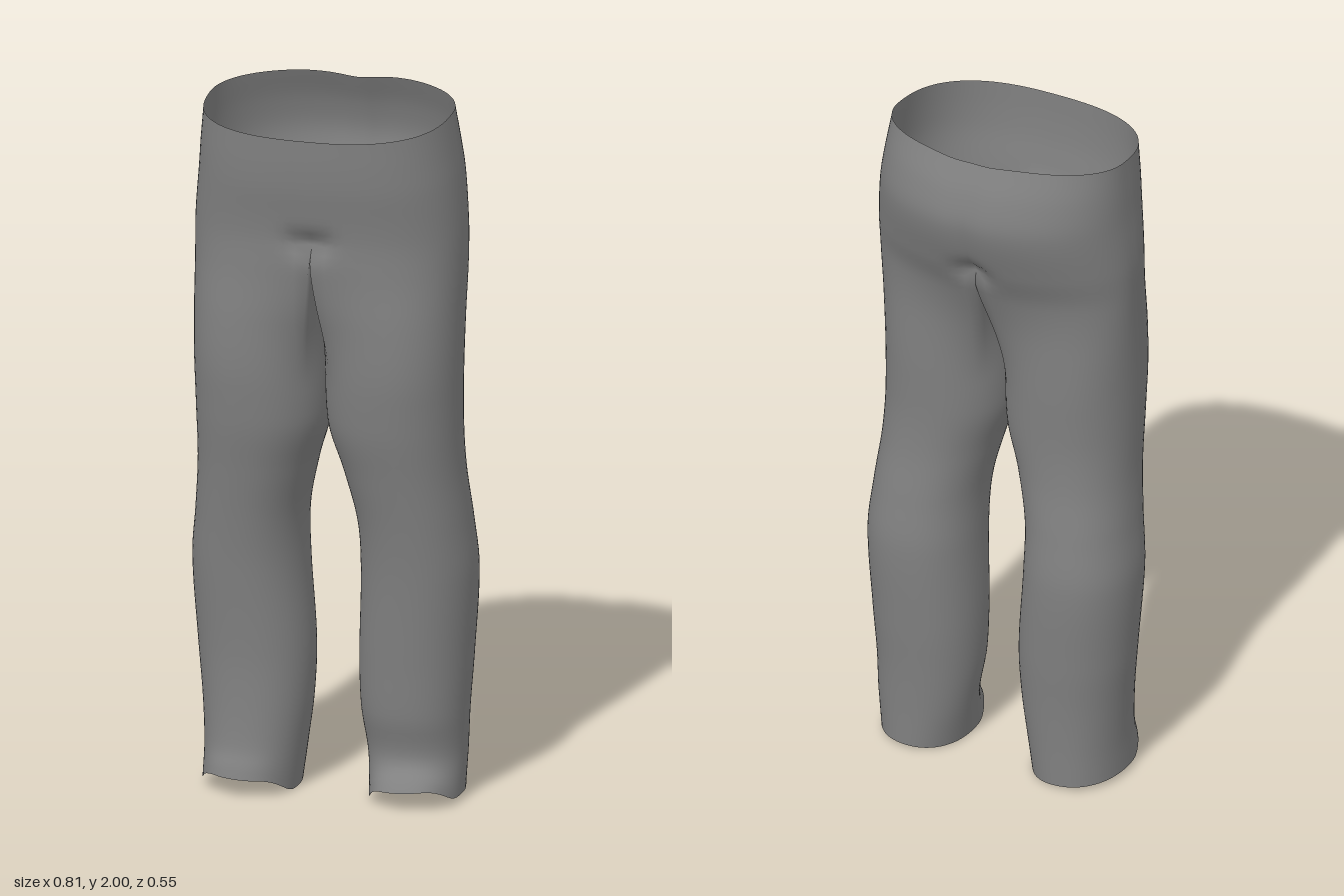
import * as THREE from 'three';
import { mergeVertices } from 'three/addons/utils/BufferGeometryUtils.js';

// Columns: height, then for right / left leg: outer x, inner x, front z; last is back z
const PROFILE = [
  [2.0, 0.362, 0.338, 0, 0, 0.28, 0.28, -0.222],
  [1.9, 0.37, 0.352, 0, 0, 0.278, 0.278, -0.262],
  [1.8, 0.376, 0.365, 0, 0, 0.272, 0.272, -0.276],
  [1.65, 0.388, 0.378, 0.002, 0.002, 0.254, 0.254, -0.232],
  [1.55, 0.388, 0.38, 0.002, 0.002, 0.256, 0.256, -0.19],
  [1.4, 0.385, 0.377, 0.002, 0.002, 0.26, 0.26, -0.162],
  [1.1, 0.377, 0.374, 0.003, 0.003, 0.235, 0.235, -0.145],
  [0.95, 0.377, 0.378, 0.045, 0.045, 0.208, 0.208, -0.148],
  [0.8, 0.39, 0.392, 0.079, 0.078, 0.183, 0.183, -0.168],
  [0.65, 0.405, 0.403, 0.083, 0.082, 0.165, 0.165, -0.185],
  [0.4, 0.39, 0.389, 0.066, 0.075, 0.148, 0.146, -0.174],
  [0.25, 0.375, 0.378, 0.07, 0.08, 0.152, 0.136, -0.163],
  [0.12, 0.366, 0.371, 0.085, 0.098, 0.166, 0.118, -0.157],
  [0.0, 0.365, 0.37, 0.1, 0.115, 0.192, 0.188, -0.155],
];
const CROTCH = 1.63, OUTER = 48, INNER = 16;
const smooth = THREE.MathUtils.smoothstep, lerp = THREE.MathUtils.lerp;
const power = (v, n) => Math.sign(v) * Math.abs(v) ** (2 / n);

// Smooth cubic interpolation of one profile column
function sample(y, col) {
  let i = 0;
  while (i < PROFILE.length - 2 && y < PROFILE[i + 1][0]) i++;
  const at = k => PROFILE[Math.min(Math.max(k, 0), PROFILE.length - 1)];
  const slope = k => (at(k + 1)[col] - at(k - 1)[col]) / (at(k + 1)[0] - at(k - 1)[0]);
  const a = at(i), b = at(i + 1), d = b[0] - a[0], t = (y - a[0]) / d;
  return a[col] * (1 + 2 * t) * (1 - t) ** 2 + b[col] * t * t * (3 - 2 * t)
    + d * (slope(i) * t * (1 - t) ** 2 + slope(i + 1) * t * t * (t - 1));
}

// Cross-section of one side: outer arc (front to back), then inner arc (back to front)
function section(y, left) {
  const out = sample(y, 1 + left), inn = sample(y, 3 + left);
  const front = sample(y, 5 + left), back = sample(y, 7);
  const blend = 1 - smooth(y, 1.2, CROTCH);
  const leg = phi => [
    (out + inn) / 2 + (out - inn) / 2 * power(Math.sin(phi), 2.2),
    (front + back) / 2 + (front - back) / 2 * power(Math.cos(phi), 2.2),
  ];
  const hip = theta => {
    const c = Math.cos(theta), n = c > 0 ? 2.5 : 2.15;
    const x = theta === 0 || theta === Math.PI ? 0 : out * power(Math.sin(theta), n);
    let z = power(c, n) * (c > 0 ? front : -back);
    // Pinch at the crotch and soft seat cleft
    z *= 1 - 0.14 * Math.exp(-((x / 0.05) ** 2) - ((y - 1.635) / 0.035) ** 2);
    if (c < 0) z *= 1 - 0.04 * Math.exp(-((x / 0.04) ** 2)) * smooth(y, 1.5, 1.7);
    return [x, z];
  };
  const mix = (a, b) => [lerp(a[0], b[0], blend), lerp(a[1], b[1], blend)];
  const spread = 0.87, points = [];
  for (let i = 0; i <= OUTER; i++) {
    const s = i / OUTER;
    points.push(mix(hip(s * Math.PI), leg(lerp(-spread, Math.PI + spread, s))));
  }
  const f = hip(0)[1], b = hip(Math.PI)[1];
  for (let i = 1; i < INNER; i++) {
    const s = i / INNER;
    points.push(mix([0, lerp(b, f, s)], leg(lerp(Math.PI + spread, 2 * Math.PI - spread, s))));
  }
  return points.map(([x, z]) => {
    // Sloping waistband and lifted front hem
    const rim = smooth(y, 1.7, 2) * (-0.024 - 0.11 * z - (z < 0 ? 0.012 * Math.exp(-((x / 0.1) ** 2)) : 0));
    const hem = (1 - smooth(y, 0, 0.16)) * (0.045 * smooth(z, 0.06, 0.18) + 0.06 * Math.max(x - 0.1, 0));
    return [left ? x : -x, y + rim + hem, z];
  });
}

function trouserGeometry() {
  const heights = [];
  for (let i = 0; i <= 20; i++) heights.push(lerp(2, CROTCH, i / 20));
  for (let i = 1; i <= 70; i++) heights.push(lerp(CROTCH, 0, i / 70));
  const positions = [], index = [], ring = OUTER + INNER;
  for (const left of [0, 1]) {
    const base = positions.length / 3;
    heights.forEach((y, r) => {
      section(y, left).forEach(p => positions.push(...p));
      if (r === heights.length - 1) return;
      // Above the crotch only the outer arc exists, below it the leg closes
      const count = r < 20 ? OUTER : ring;
      for (let i = 0; i < count; i++) {
        const a = base + r * ring + i, b = base + r * ring + (i + 1) % ring;
        const c = a + ring, d = b + ring;
        if (left) index.push(a, c, b, b, c, d);
        else index.push(a, b, c, b, d, c);
      }
    });
  }
  let geometry = new THREE.BufferGeometry();
  geometry.setAttribute('position', new THREE.Float32BufferAttribute(positions, 3));
  geometry.setIndex(index);
  geometry = mergeVertices(geometry, 1e-4);
  geometry.computeVertexNormals();
  return geometry;
}

export function createModel() {
  const group = new THREE.Group();
  group.name = 'trousers';
  const fabric = new THREE.MeshStandardMaterial({ color: 0x808080, side: THREE.DoubleSide });
  fabric.name = 'grey fabric';
  const cloth = new THREE.Mesh(trouserGeometry(), fabric);
  cloth.name = 'trouserCloth';
  group.add(cloth);
  return group;
}
